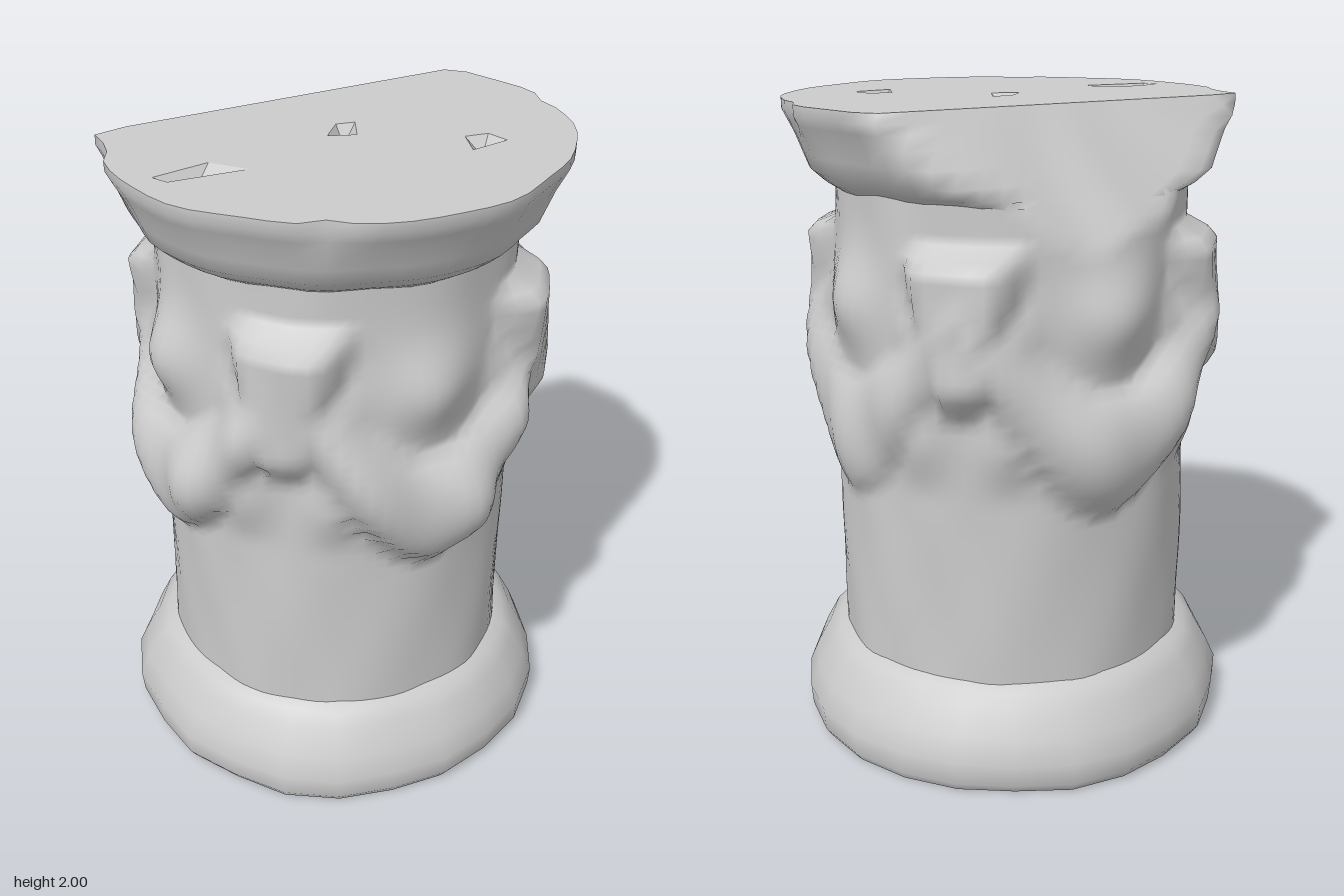
import * as THREE from 'three';

const grey = new THREE.MeshStandardMaterial({ color: 0xcccccc, side: THREE.DoubleSide });
const CUT = Math.atan2(-0.87, -0.92); // direction of the broken back corner

const gauss = (d, w) => Math.exp(-(d * d) / (w * w));
const step = THREE.MathUtils.smoothstep;

// Gentle weathering, periodic around the axis
const wear = (a, y) =>
  0.5 * Math.sin(5 * a + 3 * y + 1) + 0.35 * Math.sin(9 * a - 7 * y) + 0.3 * Math.sin(14 * a + 11 * y + 2);

// Radius read from [y, r] pairs
function profileRadius(profile, y) {
  for (let i = 1; i < profile.length; i++) {
    const [y0, r0] = profile[i - 1], [y1, r1] = profile[i];
    if (y <= y1) return r0 + (r1 - r0) * (y - y0) / (y1 - y0);
  }
  return profile[profile.length - 1][1];
}

// Slanted break through the cornice and the top of the shaft
function broken(r, a, y) {
  const c = Math.cos(a - CUT);
  if (c < 0.1 || y < 1.5) return r;
  const d = 0.315 + (2 - y) * (0.62 + 0.05 * Math.sin(9 * a + 9 * y));
  return Math.min(r, d / c);
}

const baseProfile = [[0, 0.67], [0.03, 0.69], [0.1, 0.695], [0.17, 0.665], [0.25, 0.622], [0.29, 0.585], [0.31, 0.54]];
const corniceProfile = [[1.74, 0.53], [1.765, 0.57], [1.8, 0.61], [1.9, 0.65], [1.97, 0.686], [2, 0.686]];
const TOP = 2;

const baseRadius = (a, y) => profileRadius(baseProfile, y) + 0.012 * wear(a, y * 0.6);

function corniceRadius(a, y) {
  let r = profileRadius(corniceProfile, y) + 0.012 * wear(a, y * 0.5);
  // Chips in the rim
  for (const [at, depth] of [[0.22, 0.03], [-1.1, 0.04], [2.2, 0.02]])
    r -= depth * gauss(a - at, 0.07) * step(y, 1.88, TOP);
  return broken(r, a, y);
}

// Shaft with four heads on the axes and festoons hanging between them
function shaftRadius(a, y) {
  const quarter = Math.PI / 2;
  const u = a - Math.round(a / quarter) * quarter;
  const t = Math.abs(u) / (quarter / 2);
  // Festoon: thin at the heads, thick at the bottom of its sag, worn away at the back right
  const mid = 1.45 - 0.43 * Math.sin(t * Math.PI / 2);
  const k = (y - mid) / (0.16 + 0.03 * t);
  const worn = 1 - 0.5 * gauss(a - 1.5 * quarter, 0.5);
  const festoon = 0.1 * worn * Math.pow(Math.max(0, 1 - k * k), 0.7) * (1 + 0.15 * Math.sin(13 * a + 8 * y));
  // Head: broad at the horns, narrow at the muzzle
  const width = 0.12 + 0.16 * step(y, 1.15, 1.6);
  const head = 0.1 * (1 - step(Math.abs(u), width * 0.6, width * 1.3)) * step(y, 1.1, 1.26) * (1 - step(y, 1.59, 1.64));
  // Ribbon ends beside the muzzle
  const ribbon = 0.05 * gauss(Math.abs(u) - 0.24, 0.14) * step(y, 0.88, 1.08) * (1 - step(y, 1.35, 1.55));
  // Worn rosette above the sag
  const rosette = 0.065 * gauss(Math.hypot((Math.abs(u) - quarter / 2) * 0.55, y - 1.42), 0.13);
  const relief = Math.max(festoon, head, ribbon, rosette);
  const r = 0.552 - 0.01 * step(y, 0.9, 1.7) + relief + (0.007 + 0.1 * relief) * wear(a, y);
  return broken(r, a, y);
}

// Closed ring surface from a radius rule
function shell(name, radius, ys, n) {
  const pos = [], idx = [];
  ys.forEach((y, j) => {
    for (let i = 0; i < n; i++) {
      const a = ((i / n) * 2 - 1) * Math.PI, r = radius(a, y);
      pos.push(r * Math.sin(a), y, r * Math.cos(a));
      if (j === 0) continue;
      const i1 = (i + 1) % n, lo = (j - 1) * n, hi = j * n;
      idx.push(lo + i, lo + i1, hi + i1, lo + i, hi + i1, hi + i);
    }
  });
  const g = new THREE.BufferGeometry();
  g.setAttribute('position', new THREE.Float32BufferAttribute(pos, 3));
  g.setIndex(idx);
  g.computeVertexNormals();
  return named(name, g);
}

function named(name, geometry) {
  const mesh = new THREE.Mesh(geometry, grey);
  mesh.name = name;
  return mesh;
}

// Flat face closing a shell, with optional holes given as [x, z] corners
function cap(name, radius, y, n, up, holes = []) {
  const s = up ? -1 : 1;
  const ring = [];
  for (let i = 0; i < n; i++) {
    const a = ((i / n) * 2 - 1) * Math.PI, r = radius(a, y);
    ring.push(new THREE.Vector2(r * Math.sin(a), s * r * Math.cos(a)));
  }
  const shape = new THREE.Shape(ring);
  for (const h of holes) shape.holes.push(new THREE.Path(h.map(([x, z]) => new THREE.Vector2(x, s * z))));
  const g = new THREE.ShapeGeometry(shape);
  g.rotateX(s * Math.PI / 2).translate(0, y, 0);
  return named(name, g);
}

// Pointed hollow under a hole
function pit(corners, depth) {
  const cx = corners.reduce((t, c) => t + c[0], 0) / corners.length;
  const cz = corners.reduce((t, c) => t + c[1], 0) / corners.length;
  const pos = [];
  corners.forEach(([x, z], i) => {
    const [x1, z1] = corners[(i + 1) % corners.length];
    pos.push(x, TOP, z, x1, TOP, z1, cx, TOP - depth, cz);
  });
  const g = new THREE.BufferGeometry();
  g.setAttribute('position', new THREE.Float32BufferAttribute(pos, 3));
  g.computeVertexNormals();
  return named('topSocket', g);
}

const range = (y0, y1, n) => Array.from({ length: n + 1 }, (_, i) => y0 + (y1 - y0) * i / n);

export function createModel() {
  const model = new THREE.Group();
  model.name = 'weatheredAltar';

  // Base moulding
  model.add(shell('base', baseRadius, baseProfile.map(p => p[0]), 24));
  model.add(cap('underside', baseRadius, 0, 24, false));

  // Shaft with carved garlands
  model.add(shell('garlandedShaft', shaftRadius, [...range(0.29, 0.76, 6), ...range(0.79, 1.76, 32)], 96));

  // Cornice and its top
  model.add(shell('cornice', corniceRadius, [1.74, 1.765, 1.8, 1.85, 1.9, 1.94, 1.97, TOP], 60));
  const sockets = [
    [[-0.01, -0.04], [0.04, -0.07], [0.07, 0.03], [-0.01, 0.06]],
    [[0.37, -0.03], [0.43, -0.07], [0.49, -0.03], [0.41, 0.07]],
    [[-0.38, 0.48], [-0.27, 0.34], [-0.15, 0.36], [-0.33, 0.5]],
  ];
  model.add(cap('top', corniceRadius, TOP, 60, true, sockets));
  for (const s of sockets) model.add(pit(s, 0.05));

  return model;
}
